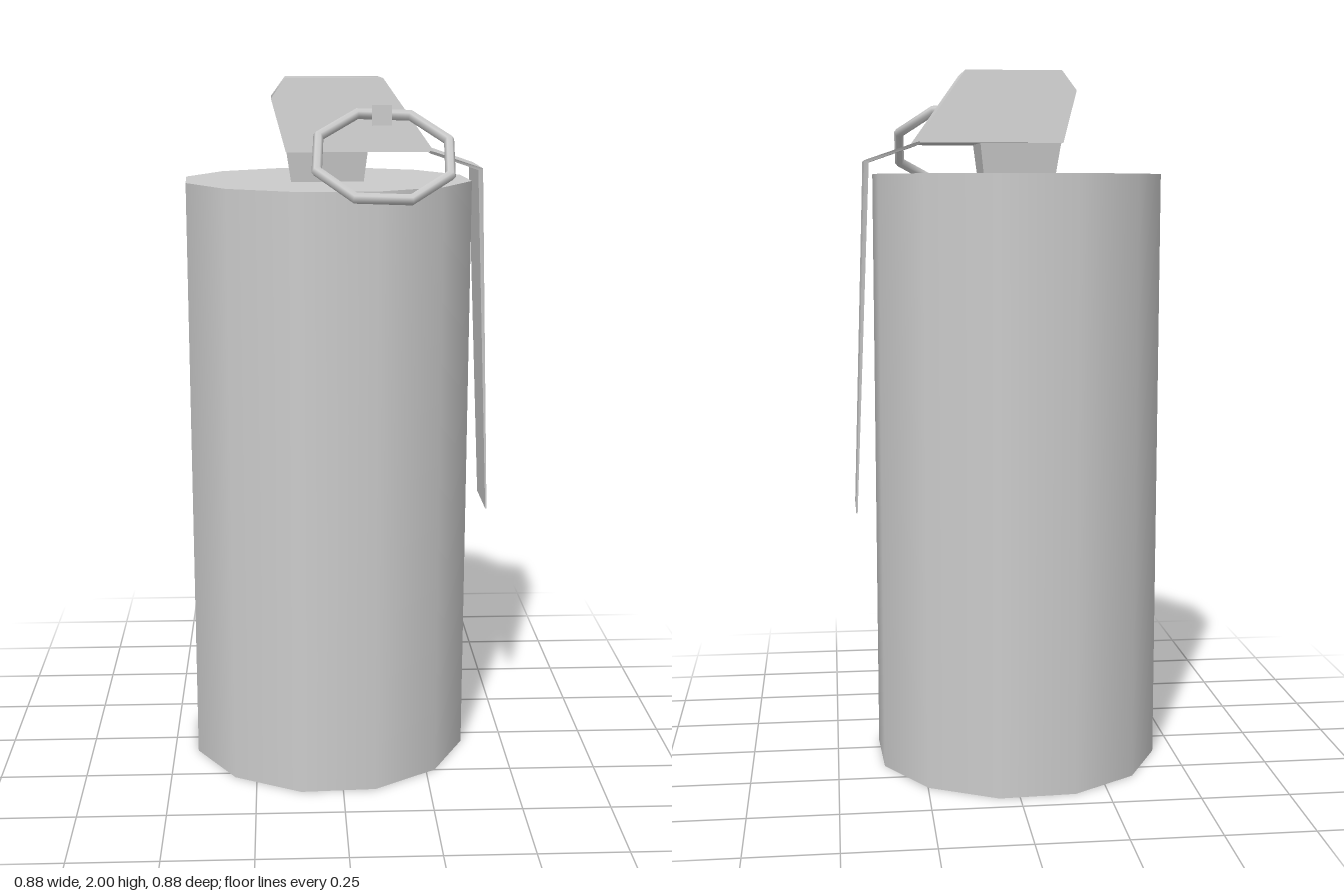
import * as THREE from 'three';
import { toCreasedNormals } from 'three/addons/utils/BufferGeometryUtils.js';

const AXIS = -0.032; // x and z of the body axis

export function createModel() {
  const group = new THREE.Group();
  const material = new THREE.MeshStandardMaterial({ color: 0xcccccc, side: THREE.DoubleSide });

  const add = (name, geometry, x = 0, y = 0, z = 0) => {
    const mesh = new THREE.Mesh(geometry, material);
    mesh.name = name;
    mesh.position.set(x, y, z);
    group.add(mesh);
    return mesh;
  };

  // Side profile extruded across z, with a half width that depends on height
  const taperedProfile = (points, halfWidth, crease) => {
    const shape = new THREE.Shape(points.map(([x, y]) => new THREE.Vector2(x, y)));
    const geometry = new THREE.ExtrudeGeometry(shape, { depth: 2, bevelEnabled: false });
    geometry.translate(0, 0, -1);
    const p = geometry.attributes.position;
    for (let i = 0; i < p.count; i++) p.setZ(i, p.getZ(i) * halfWidth(p.getY(i)));
    return toCreasedNormals(geometry, crease);
  };
  const { mapLinear } = THREE.MathUtils;

  // Twelve-sided body, turned slightly
  const body = new THREE.CylinderGeometry(0.417, 0.417, 1.715, 12, 1, false, THREE.MathUtils.degToRad(17.6));
  add('body', body, AXIS, 1.715 / 2, AXIS);

  // Neck, wider at the top
  add('neck', taperedProfile(
    [[-0.135, 1.71], [0.068, 1.71], [0.08, 1.81], [-0.15, 1.81]],
    y => mapLinear(y, 1.71, 1.81, 0.1, 0.115), 0.5), 0, 0, AXIS);

  // Fuse head, narrowing upward
  add('fuseHead', taperedProfile(
    [[-0.15, 1.8], [0.262, 1.8], [0.12, 2], [-0.15, 2], [-0.19, 1.945]],
    y => mapLinear(y, 1.8, 2, 0.147, 0.115), 1.05), 0, 0, AXIS);

  // Thin lever, bent down along the body
  add('safetyLever', taperedProfile(
    [[0.25, 1.803], [0.262, 1.8], [0.403, 1.752], [0.438, 0.75], [0.434, 0.75], [0.39, 1.747], [0.25, 1.796]],
    y => y > 1.75 ? mapLinear(y, 1.75, 1.8, 0.112, 0.147) : mapLinear(y, 0.75, 1.75, 0.095, 0.112),
    0.5), 0, 0, AXIS);

  // Pin end, flaring toward the ring
  const pin = new THREE.CylinderGeometry(0.039, 0.031, 0.085, 4, 1, false, Math.PI / 4);
  pin.rotateX(Math.PI / 2);
  add('pin', toCreasedNormals(pin, 0.5), 0.112, 1.902, 0.124);

  // Eight-sided pull ring, hanging forward
  const ring = add('pullRing', new THREE.TorusGeometry(0.191, 0.015, 6, 8), 0.11, 1.802, 0.278);
  ring.rotation.set(-0.96, 0, 0.34);

  return group;
}
